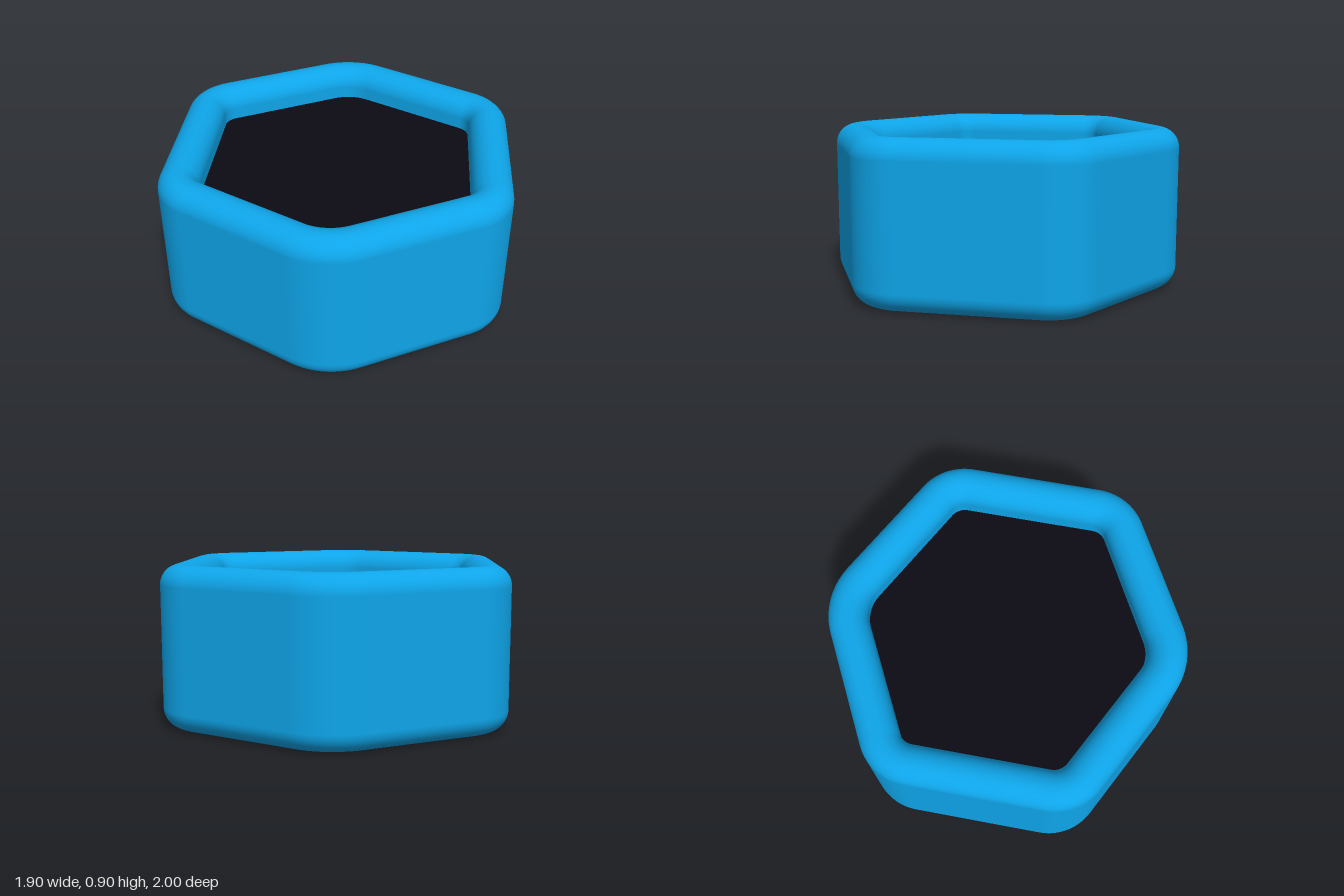
import * as THREE from 'three';

const HEIGHT = 0.897;
const TUBE = 0.11;                        // half the wall thickness, also its rounding
const TURN = THREE.MathUtils.degToRad(62.1); // direction of the slanted walls
const ARC_STEPS = 14;

// Corner arcs of the hexagon's wall centre line: centre, radius, start and end angle
const corners = [
  { x: 0.64, z: 0.37, r: 0.2, from: 0, to: TURN },
  { x: 0, z: 0.57, r: 0.32, from: TURN, to: Math.PI - TURN },
  { x: -0.64, z: 0.37, r: 0.2, from: Math.PI - TURN, to: Math.PI },
];
// The other half is the same, turned by 180 degrees
for (const c of corners.slice(0, 3)) {
  corners.push({ x: -c.x, z: -c.z, r: c.r, from: c.from + Math.PI, to: c.to + Math.PI });
}

// Rounded hexagon as points with their outward normals
const outline = [];
for (const c of corners) {
  for (let i = 0; i <= ARC_STEPS; i++) {
    const a = c.from + (c.to - c.from) * i / ARC_STEPS;
    const nx = Math.cos(a), nz = Math.sin(a);
    outline.push({ x: c.x + c.r * nx, z: c.z + c.r * nz, nx, nz });
  }
}

// Wall cross-section: a tall shape with half-round top and bottom
const profile = [];
for (let half = 0; half < 2; half++) {
  for (let i = 0; i <= 20; i++) {
    const a = Math.PI * (half + i / 20);
    const cy = half === 0 ? HEIGHT - TUBE : TUBE;
    profile.push({ d: TUBE * Math.cos(a), y: cy + TUBE * Math.sin(a), nd: Math.cos(a), ny: Math.sin(a) });
  }
}

// Sweep the cross-section around the outline
function wallGeometry() {
  const positions = [], normals = [], index = [];
  const m = profile.length, n = outline.length;
  outline.forEach((o, i) => profile.forEach((p, j) => {
    positions.push(o.x + p.d * o.nx, p.y, o.z + p.d * o.nz);
    normals.push(p.nd * o.nx, p.ny, p.nd * o.nz);
    const i2 = (i + 1) % n, j2 = (j + 1) % m;
    const a = i * m + j, b = i * m + j2, c = i2 * m + j2, d = i2 * m + j;
    index.push(a, b, d, b, c, d);
  }));
  const g = new THREE.BufferGeometry();
  g.setAttribute('position', new THREE.Float32BufferAttribute(positions, 3));
  g.setAttribute('normal', new THREE.Float32BufferAttribute(normals, 3));
  g.setIndex(index);
  return g;
}

// Solid slab filling the opening, recessed at top and bottom
function coreGeometry(bottom, top) {
  const inset = TUBE - 0.01;
  const shape = new THREE.Shape(outline.map(o => new THREE.Vector2(o.x - inset * o.nx, o.z - inset * o.nz)));
  return new THREE.ExtrudeGeometry(shape, { depth: top - bottom, bevelEnabled: false })
    .rotateX(-Math.PI / 2)
    .translate(0, bottom, 0);
}

export function createModel() {
  const model = new THREE.Group();
  model.name = 'hexagonalFrame';

  const wall = new THREE.Mesh(wallGeometry(), new THREE.MeshStandardMaterial({ color: 0x0ea5e9 }));
  wall.name = 'roundedWall';

  const core = new THREE.Mesh(coreGeometry(0.175, 0.72), new THREE.MeshStandardMaterial({ color: 0x0c0b14 }));
  core.name = 'darkCore';

  model.add(wall, core);
  return model;
}
